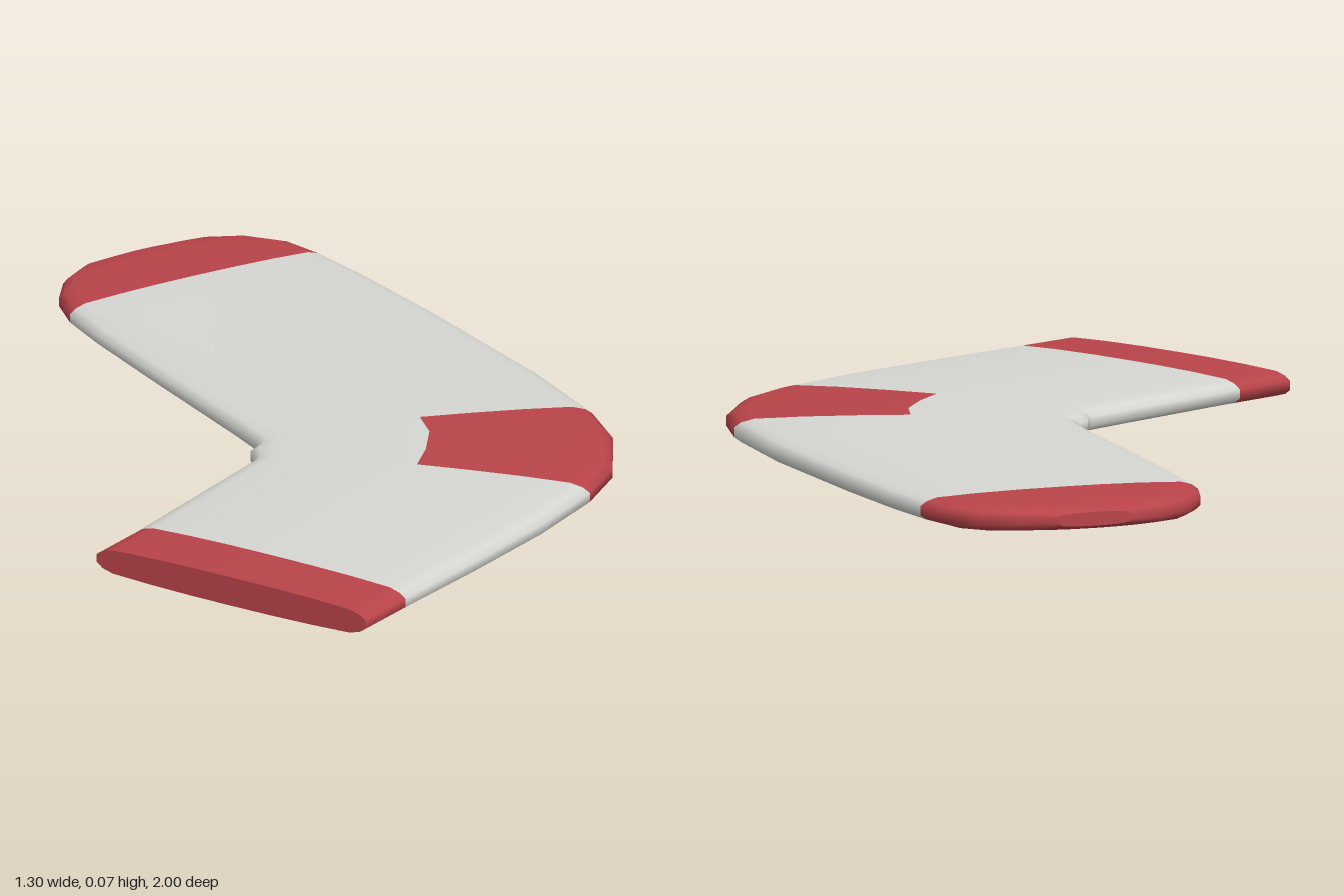
import * as THREE from 'three';

// Cross-sections from the cuff to the toe: inner x, z, outer x, z, thickness scale
const STATIONS = [
  [-0.655, 0.385, -0.37, 0.995, 0.92],
  [-0.52, 0.325, -0.235, 0.935, 0.94],
  [-0.25, 0.19, 0.0, 0.835, 0.97],
  [-0.11, 0.12, 0.22, 0.735, 1],
  [-0.1, 0.108, 0.4, 0.635, 1], // heel starts
  [-0.085, 0.068, 0.51, 0.545, 1],
  [-0.06, 0.052, 0.6, 0.4, 1],
  [-0.045, 0.03, 0.635, 0.26, 1], // heel ends
  [-0.04, -0.06, 0.65, 0.0, 0.98],
  [-0.03, -0.4, 0.642, -0.4, 0.94],
  [-0.02, -0.65, 0.63, -0.62, 0.92],
  [-0.008, -0.78, 0.612, -0.78, 0.92], // toe starts
  [0.02, -0.87, 0.59, -0.87, 0.9],
  [0.07, -0.935, 0.54, -0.935, 0.82],
  [0.14, -0.98, 0.465, -0.98, 0.66],
  [0.225, -1, 0.385, -1, 0.42],
];
// Half profile across the sock: position from inner to outer edge, half height
const PROFILE = [
  [0, 0.01], [0.022, 0.021], [0.06, 0.0285], [0.2, 0.0325], [0.345, 0.0345],
  [0.485, 0.035], [0.64, 0.0345], [0.8, 0.0325], [0.94, 0.0285], [0.978, 0.021], [1, 0.01],
];
const HEEL_COLUMN = 5;
const MID_Y = 0.035;

const RING = [
  ...PROFILE,
  ...PROFILE.slice().reverse().map(([t, h]) => [t, -h]),
];
const N = RING.length;

function ringPoints([ix, iz, ox, oz, s]) {
  return RING.map(([t, h]) => [ix + (ox - ix) * t, MID_Y + h * s, iz + (oz - iz) * t]);
}

function makeGeometry(points, index) {
  const geometry = new THREE.BufferGeometry();
  geometry.setAttribute('position', new THREE.Float32BufferAttribute(points.flat(), 3));
  geometry.setIndex(index);
  geometry.computeVertexNormals();
  return geometry;
}

// Skin of the sock, with one group for the fabric and one for the coloured panels
function sockGeometry() {
  const fabric = [], panels = [];
  for (let i = 0; i < STATIONS.length - 1; i++) {
    for (let j = 0; j < N; j++) {
      const k = (j + 1) % N;
      const cuff = i === 0;
      const toe = i >= 11;
      const heel = i >= 4 && i < 7 && j >= HEEL_COLUMN && j < N - 1 - HEEL_COLUMN;
      const a = i * N + j, b = i * N + k;
      (cuff || toe || heel ? panels : fabric).push(a, b, a + N, b, b + N, a + N);
    }
  }
  const geometry = makeGeometry(STATIONS.flatMap(ringPoints), [...fabric, ...panels]);
  geometry.addGroup(0, fabric.length, 0);
  geometry.addGroup(fabric.length, panels.length, 1);
  return geometry;
}

// Flat end closing a cross-section
function capGeometry(station, facesToe) {
  const [ix, iz, ox, oz] = station;
  const points = [...ringPoints(station), [(ix + ox) / 2, MID_Y, (iz + oz) / 2]];
  const index = [];
  for (let j = 0; j < N; j++) {
    const k = (j + 1) % N;
    index.push(N, facesToe ? j : k, facesToe ? k : j);
  }
  return makeGeometry(points, index);
}

export function createModel() {
  const grey = new THREE.MeshStandardMaterial({ color: 0xd6d6d2 });
  grey.name = 'light grey fabric';
  const red = new THREE.MeshStandardMaterial({ color: 0xb9444a });
  red.name = 'red fabric';

  const group = new THREE.Group();
  group.name = 'sock';
  const add = (name, geometry, material) => {
    const mesh = new THREE.Mesh(geometry, material);
    mesh.name = name;
    group.add(mesh);
  };
  add('sockBody', sockGeometry(), [grey, red]);
  add('cuffEnd', capGeometry(STATIONS[0], false), red);
  add('toeEnd', capGeometry(STATIONS[STATIONS.length - 1], true), red);
  return group;
}
